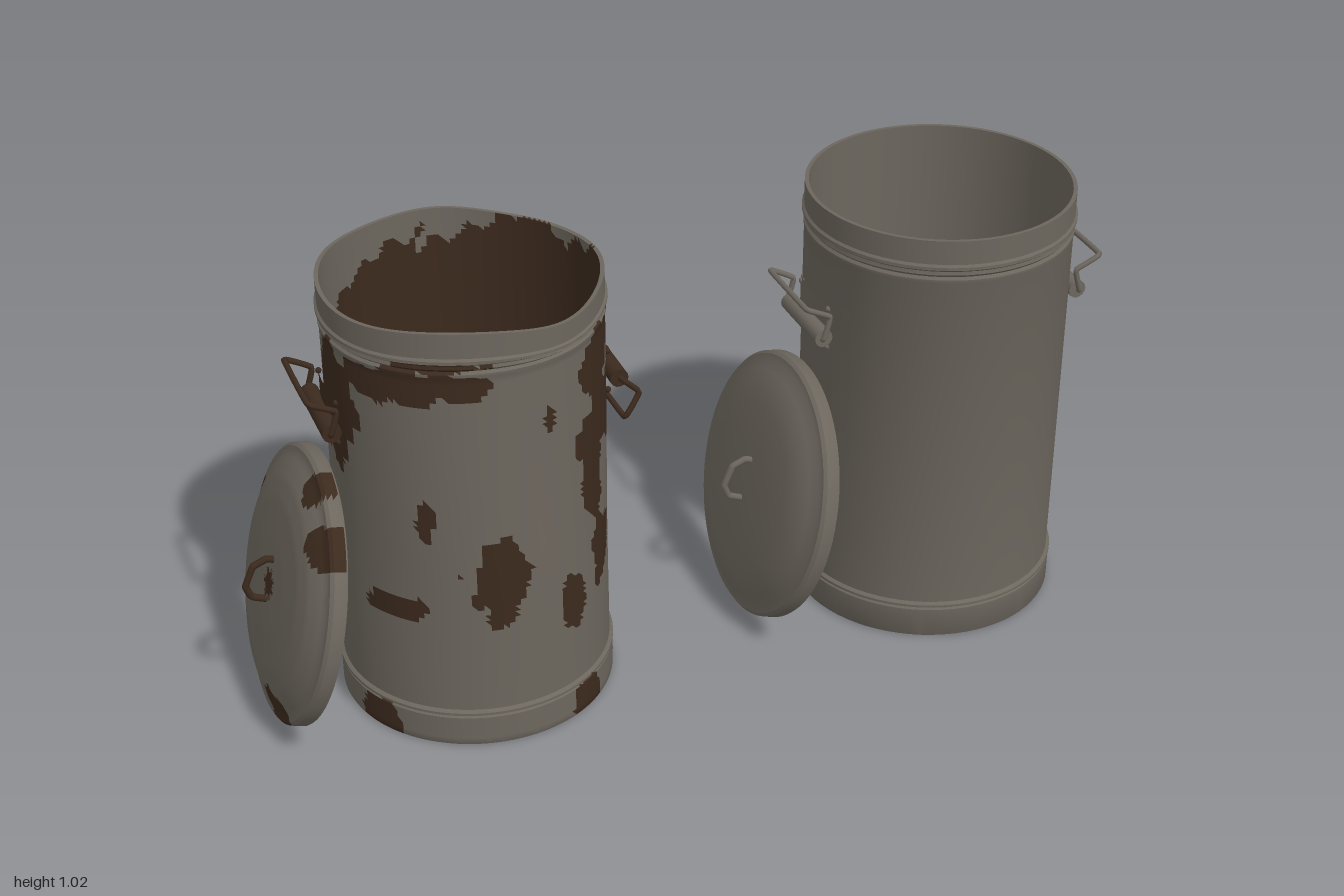
import * as THREE from 'three';
import { toCreasedNormals } from 'three/addons/utils/BufferGeometryUtils.js';

const steel = new THREE.MeshStandardMaterial({ color: 0x6c665d });
steel.name = 'galvanised steel';
const rust = new THREE.MeshStandardMaterial({ color: 0x3c2a1e });
rust.name = 'rust brown';

// Rust patches on the can wall: [angle in degrees from the front, height, half angle, half height]
const wallPatches = [
  [-48, 0.89, 22, 0.045], [-18, 0.9, 15, 0.03], [-25, 0.945, 20, 0.012],
  [52, 0.86, 14, 0.08], [85, 0.85, 26, 0.09], [42, 0.69, 12, 0.05], [46, 0.6, 9, 0.11], [66, 0.72, 20, 0.09],
  [19, 0.78, 3, 0.035], [-35, 0.57, 4, 0.05], [-6, 0.42, 11, 0.1], [-4, 0.36, 7, 0.06], [-51, 0.34, 14, 0.035],
  [29, 0.3, 7, 0.08], [53, 0.37, 11, 0.08], [-22, 0.44, 1.5, 0.012],
  [200, 0.89, 20, 0.05], [232, 0.88, 17, 0.05], [276, 0.78, 18, 0.13], [193, 0.6, 5, 0.04],
  [238, 0.46, 13, 0.07], [193, 0.36, 5, 0.04], [214, 0.29, 8, 0.08], [150, 0.7, 7, 0.06],
  [-60, 0.03, 12, 0.05], [36, 0.03, 9, 0.05], [75, 0.03, 8, 0.04], [212, 0.03, 22, 0.06],
];
// Rust patches on the lid: [x, z, radius]
const lidPatches = [[0.2, 0.2, 0.05], [-0.27, 0.12, 0.06], [0.05, -0.29, 0.06], [0, 0, 0.03], [0.27, 0.08, 0.04]];

const noise = (a, y) => 0.5 * Math.sin(7 * a + 23 * y) + 0.35 * Math.sin(19 * a - 41 * y + 1) + 0.25 * Math.sin(33 * a + 67 * y + 2);

function wallRust(p) {
  const a = Math.atan2(p.x, p.z), n = noise(a, p.y);
  if (Math.hypot(p.x, p.z) < 0.2965) return p.y > 0.008 && p.y < 0.95 + 0.04 * n + 0.06 * Math.sin(a);
  return wallPatches.some(([deg, y, ra, ry]) => {
    const d = a - THREE.MathUtils.degToRad(deg);
    const da = THREE.MathUtils.radToDeg(Math.atan2(Math.sin(d), Math.cos(d)));
    return Math.hypot(da / ra, (p.y - y) / ry) + 0.3 * n < 1;
  });
}

function lidRust(p) {
  const n = noise(Math.atan2(p.x, p.z), p.x);
  return p.y > 0.005 && lidPatches.some(([x, z, r]) => Math.hypot(p.x - x, p.z - z) / r + 0.3 * n < 1);
}

// Revolved shell; step splits the profile finely enough to carry patches
function shell(profile, segments, step = 10) {
  const pts = [];
  profile.forEach(([r, y], i) => {
    if (i) {
      const [r0, y0] = profile[i - 1];
      const n = Math.ceil(Math.hypot(r - r0, y - y0) / step);
      for (let k = 1; k < n; k++) pts.push(new THREE.Vector2(r0 + (r - r0) * k / n, y0 + (y - y0) * k / n));
    }
    pts.push(new THREE.Vector2(r, y));
  });
  return new THREE.LatheGeometry(pts, segments);
}

// Sort triangles into a steel group and a rust group
function splitRust(geo, test) {
  const pos = geo.attributes.position, lists = [[], []];
  const c = new THREE.Vector3(), v = new THREE.Vector3();
  for (let i = 0; i < pos.count; i += 3) {
    c.set(0, 0, 0);
    for (let k = 0; k < 3; k++) c.addScaledVector(v.fromBufferAttribute(pos, i + k), 1 / 3);
    lists[test(c) ? 1 : 0].push(i, i + 1, i + 2);
  }
  geo.setIndex(lists[0].concat(lists[1]));
  geo.clearGroups();
  geo.addGroup(0, lists[0].length, 0);
  geo.addGroup(lists[0].length, lists[1].length, 1);
}

// Slight dents in the old can and a sagging rim
function dent(geo) {
  const pos = geo.attributes.position;
  for (let i = 0; i < pos.count; i++) {
    const x = pos.getX(i), y = pos.getY(i), z = pos.getZ(i), a = Math.atan2(x, z);
    const s = 1 + 0.006 * Math.sin(3 * a + 5 * y) * THREE.MathUtils.smoothstep(y, 0.1, 0.5);
    const sag = 0.02 * Math.exp(-(((x - 0.17) / 0.12) ** 2)) + 0.005 * (1 + Math.sin(4 * a));
    pos.setXYZ(i, x * s, y - sag * THREE.MathUtils.smoothstep(y, 0.9, 1.02), z * s);
  }
}

function mesh(name, geo, mat) {
  const m = new THREE.Mesh(geo, mat);
  m.name = name;
  return m;
}

const canProfile = [
  [0, 0], [0.306, 0], [0.308, 0.004], [0.308, 0.072], [0.304, 0.076], [0.31, 0.08], [0.31, 0.086], [0.302, 0.091],
  [0.302, 0.92], [0.304, 0.925], [0.304, 0.932], [0.299, 0.938], [0.304, 0.944], [0.302, 0.952], [0.308, 0.957],
  [0.308, 0.964], [0.303, 0.969], [0.303, 1.025], [0.294, 1.025], [0.294, 0.016], [0, 0.016],
];
const lidProfile = [
  [0, 0.068], [0.18, 0.06], [0.25, 0.043], [0.298, 0.028], [0.302, 0], [0.309, 0], [0.311, 0.004], [0.309, 0.03],
  [0.302, 0.037], [0.288, 0.039], [0.265, 0.052], [0.235, 0.065], [0.19, 0.074], [0.1, 0.079], [0, 0.08],
];

function wire(name, points, radius, mat) {
  const curve = new THREE.CatmullRomCurve3(points.map(p => new THREE.Vector3(...p)), false, 'catmullrom', 0.12);
  return mesh(name, new THREE.TubeGeometry(curve, 72, radius, 8), mat);
}

// Side handle on the +x side; swing turns the bail about its hinge
function sideHandle(mat, swing) {
  const g = new THREE.Group();
  g.name = 'sideHandle';
  const arc = 0.56;
  const plateMat = mat.clone();
  plateMat.side = THREE.DoubleSide;
  const plate = mesh('handlePlate', new THREE.CylinderGeometry(0.309, 0.309, 0.12, 16, 1, true, Math.PI / 2 - arc / 2, arc), mat);
  plate.position.y = 0.747;
  const barrel = mesh('hingeBarrel', new THREE.CylinderGeometry(0.021, 0.021, 0.19, 16), mat);
  barrel.rotation.x = Math.PI / 2;
  barrel.position.set(0.319, 0.735, 0);
  g.add(plate, barrel);
  for (const z of [-0.073, 0.073]) for (const y of [0.7, 0.795]) {
    const rivet = mesh('rivet', new THREE.SphereGeometry(0.007, 8, 6), mat);
    rivet.position.set(Math.sqrt(0.309 ** 2 - z * z), y, z);
    g.add(rivet);
  }
  const bail = new THREE.Group();
  bail.name = 'bail';
  bail.add(wire('bailWire', [
    [0, 0, -0.085], [0, 0, -0.1], [-0.014, 0.055, -0.1], [0.044, 0.085, -0.1],
    [0.044, 0.085, 0.1], [-0.014, 0.055, 0.1], [0, 0, 0.1], [0, 0, 0.085],
  ], 0.0065, mat));
  bail.position.set(0.322, 0.735, 0);
  bail.rotation.z = swing;
  g.add(bail);
  return g;
}

function trashCan(name, old) {
  const g = new THREE.Group();
  g.name = name;
  const mats = old ? [steel, rust] : steel;
  const trim = old ? rust : steel;

  // Body with base band, rings and hollow inside
  let body = shell(canProfile, old ? 144 : 72, old ? 0.014 : 10);
  if (old) dent(body);
  body = toCreasedNormals(body, 0.6);
  if (old) splitRust(body, wallRust);
  g.add(mesh('canBody', body, mats));

  // Handles on both sides; one bail of the old can hangs down
  const left = sideHandle(trim, old ? -2.6 : 0);
  const right = sideHandle(trim, 0);
  right.rotation.y = Math.PI;
  g.add(left, right);

  // Lid leaning on the right side
  const lid = new THREE.Group();
  lid.name = 'lid';
  const cover = toCreasedNormals(shell(lidProfile, old ? 120 : 72, old ? 0.014 : 10), 0.6);
  if (old) splitRust(cover, lidRust);
  lid.add(mesh('lidCover', cover, mats));
  lid.add(wire('lidHandle', [
    [0.06, 0.07, 0], [0.062, 0.095, 0], [0.042, 0.122, 0], [-0.008, 0.13, 0], [-0.034, 0.112, 0], [-0.04, 0.07, 0],
  ], 0.008, trim));
  lid.position.set(-0.387, 0.315, 0);
  lid.rotation.z = THREE.MathUtils.degToRad(76);
  g.add(lid);
  return g;
}

export function createModel() {
  const model = new THREE.Group();
  model.name = 'trashCans';
  const oldCan = trashCan('rustyCan', true);
  oldCan.position.x = -0.49;
  const newCan = trashCan('cleanCan', false);
  newCan.position.x = 0.632;
  model.add(oldCan, newCan);
  return model;
}
